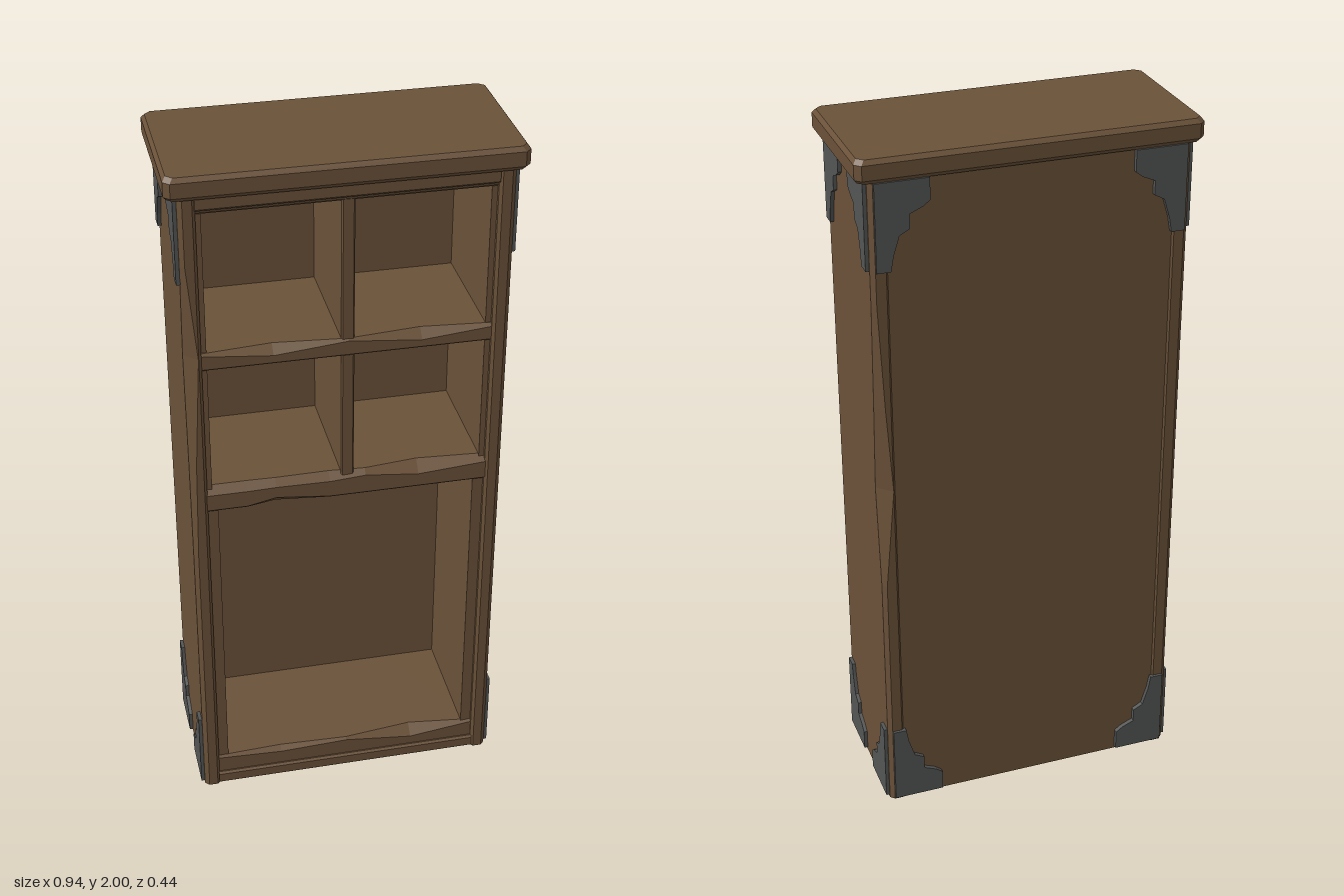
import * as THREE from 'three';

// Lofts chamfered rectangles. Each section: { t, r: [u0, u1, v0, v1], c: chamfers at (u0v0, u1v0, u1v1, u0v1) }.
// axis 'y': u = z, v = x, t = y.   axis 'x': u = y, v = z, t = x.
function loft(sections, axis) {
  const place = (u, v, t) => (axis === 'y' ? [v, t, u] : [t, u, v]);
  const rings = sections.map(({ t, r: [u0, u1, v0, v1], c: [a, b, c, d] }) => [
    [u0 + a, v0], [u1 - b, v0], [u1, v0 + b], [u1, v1 - c],
    [u1 - c, v1], [u0 + d, v1], [u0, v1 - d], [u0, v0 + a],
  ].map(([u, v]) => place(u, v, t)));
  const pos = [];
  const tri = (...points) => points.forEach((p) => pos.push(...p));
  for (let s = 0; s < rings.length - 1; s++) {
    const lo = rings[s], hi = rings[s + 1];
    for (let i = 0; i < 8; i++) {
      const j = (i + 1) % 8;
      tri(lo[i], lo[j], hi[j]);
      tri(lo[i], hi[j], hi[i]);
    }
  }
  const first = rings[0], last = rings[rings.length - 1];
  for (let i = 1; i < 7; i++) {
    tri(first[0], first[i + 1], first[i]);
    tri(last[0], last[i], last[i + 1]);
  }
  const g = new THREE.BufferGeometry();
  g.setAttribute('position', new THREE.Float32BufferAttribute(pos, 3));
  g.computeVertexNormals();
  return g;
}

export function createModel() {
  const model = new THREE.Group();
  model.name = 'bookcase';
  const wood = new THREE.MeshStandardMaterial({ color: 0x6b5239 });
  wood.name = 'brown wood';
  const iron = new THREE.MeshStandardMaterial({ color: 0x545555 });
  iron.name = 'dark iron';

  const add = (name, geometry, material = wood) => {
    const mesh = new THREE.Mesh(geometry, material);
    mesh.name = name;
    model.add(mesh);
    return mesh;
  };
  const box = (name, x0, x1, y0, y1, z0, z1) => add(name,
    new THREE.BoxGeometry(x1 - x0, y1 - y0, z1 - z0)
      .translate((x0 + x1) / 2, (y0 + y1) / 2, (z0 + z1) / 2));

  // Side panels: [height, back chamfer, front chamfer], with worn outer corners
  const E = 0.012;
  const leftWear = [[0, E, E], [0.75, E, E], [1.05, 0.04, E], [1.3, 0.025, E], [1.6, E, E], [1.94, E, E]];
  const rightWear = [[0, E, E], [0.85, E, E], [1.15, E, 0.018], [1.48, E, 0.036], [1.75, E, E], [1.94, E, E]];
  add('leftSide', loft(leftWear.map(([t, b, f]) => (
    { t, r: [-0.205, 0.205, 0.39, 0.435], c: [0.005, 0.008, f, b] })), 'y'));
  add('rightSide', loft(rightWear.map(([t, b, f]) => (
    { t, r: [-0.205, 0.205, -0.435, -0.39], c: [b, f, 0.008, 0.005] })), 'y'));

  // Back panel and inner linings
  box('backPanel', -0.395, 0.395, 0.01, 1.94, -0.2, -0.16);
  for (const s of [-1, 1]) {
    const lining = (name, x, y0, y1) =>
      box(name, Math.min(s * x, s * 0.392), Math.max(s * x, s * 0.392), y0, y1, -0.165, 0.187);
    lining('lowerLining', 0.36, 0.02, 1.03);
    lining('upperLining', 0.375, 1.03, 1.92);
  }
  add('divider', loft([1.03, 1.92].map((t) => (
    { t, r: [-0.165, 0.192, -0.018, 0.018], c: [0, 0.004, 0.004, 0] })), 'y'));

  // Shelves: wear is [x, lower front chamfer, upper front chamfer]
  const shelf = (name, y0, y1, z0, z1, wear) => add(name, loft(wear.map(([t, lo, hi]) => (
    { t, r: [y0, y1, z0, z1], c: [0, 0, hi, lo] })), 'x'));
  const plain = [[-0.392, 0.006, 0.006], [0.392, 0.006, 0.006]];
  shelf('bottomRail', 0, 0.04, -0.2, 0.204, plain);
  shelf('lowerShelf', 0.02, 0.097, -0.165, 0.194,
    [[-0.392, 0, 0.006], [-0.2, 0, 0.015], [0, 0, 0.007], [0.2, 0, 0.03], [0.392, 0, 0.006]]);
  shelf('middleShelf', 0.995, 1.07, -0.165, 0.2,
    [[-0.392, 0.005, 0.022], [-0.28, 0.005, 0.022], [-0.2, 0.022, 0.02], [-0.05, 0.005, 0.022],
      [0.05, 0.005, 0.015], [0.2, 0.005, 0.032], [0.392, 0.005, 0.018]]);
  shelf('upperShelf', 1.44, 1.49, -0.165, 0.197,
    [[-0.392, 0.004, 0.006], [-0.2, 0.004, 0.025], [0, 0.004, 0.006], [0.2, 0.004, 0.026], [0.392, 0.004, 0.008]]);
  shelf('ceiling', 1.888, 1.93, -0.165, 0.194, plain);
  shelf('topRail', 1.9, 1.94, -0.165, 0.204, plain);

  // Bevelled top slab: [height, half width, half depth]
  add('topSlab', loft([[1.937, 0.46, 0.21], [1.948, 0.468, 0.218], [1.988, 0.468, 0.218], [2, 0.459, 0.208]]
    .map(([t, x, z]) => ({ t, r: [-z, z, -x, x], c: [0.016, 0.016, 0.016, 0.016] })), 'y'));

  // Stepped iron corner brackets on the sides and the back
  const outline = [[0, 0], [0.145, 0], [0.145, 0.06], [0.125, 0.075], [0.09, 0.09], [0.09, 0.13],
    [0.062, 0.145], [0.045, 0.2], [0.038, 0.24], [0, 0.24]];
  const bracket = (su, sv) => {
    const pts = outline.map(([a, b]) => new THREE.Vector2(a * su, b * sv));
    return new THREE.ExtrudeGeometry(new THREE.Shape(pts), { depth: 0.013, bevelEnabled: false });
  };
  for (const up of [-1, 1]) {
    const y = up > 0 ? 0.008 : 1.936;
    for (const s of [-1, 1]) {
      for (const side of [-1, 1]) {
        const m = add('sideBracket', bracket(s, up), iron);
        m.rotation.y = side * Math.PI / 2;
        m.position.set(side * 0.432, y, side * s * 0.19);
      }
      const m = add('backBracket', bracket(s, up), iron);
      m.rotation.y = Math.PI;
      m.position.set(s * 0.422, y, -0.2);
    }
  }
  return model;
}
